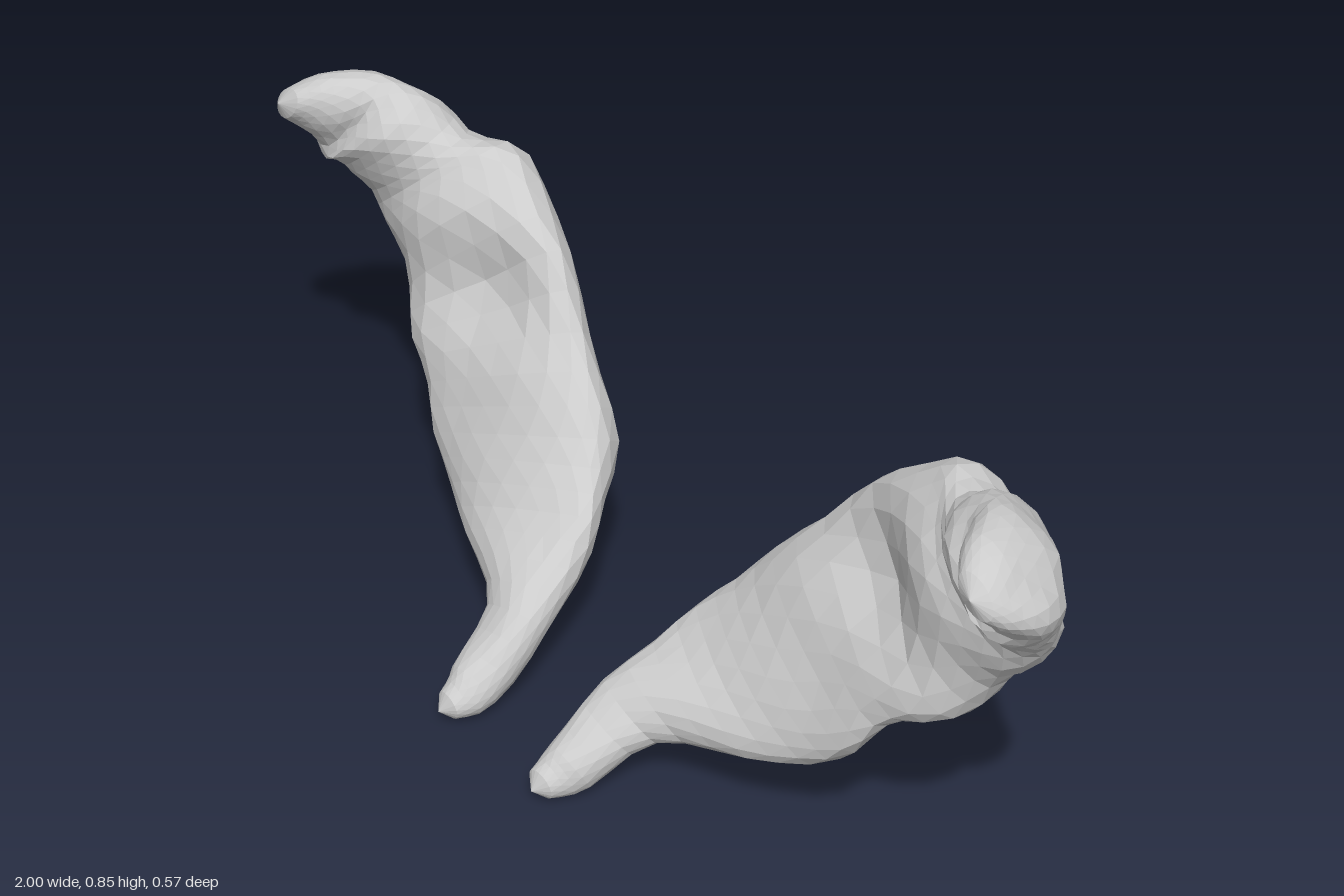
import * as THREE from 'three';

// Stations along one lobe: upper edge, lower edge, [front, back] thickness
const STATIONS = [
  [[0.108, 0.05, 0.27], [0.165, 0.035, 0.265], [0.028, 0.025]],
  [[0.092, 0.07, 0.21], [0.19, 0.045, 0.205], [0.052, 0.045]],
  [[0.10, 0.165, 0.10], [0.235, 0.115, 0.10], [0.05, 0.055]],
  [[0.145, 0.26, -0.02], [0.40, 0.152, 0.03], [0.055, 0.09]],
  [[0.19, 0.355, -0.11], [0.555, 0.225, -0.01], [0.055, 0.105]],
  [[0.30, 0.48, -0.165], [0.63, 0.33, -0.05], [0.06, 0.115]],
  [[0.445, 0.645, -0.20], [0.755, 0.39, -0.10], [0.075, 0.12]],
  [[0.595, 0.76, -0.20], [0.835, 0.51, -0.13], [0.085, 0.105]],
  [[0.685, 0.775, -0.165], [0.91, 0.595, -0.13], [0.08, 0.08]],
  [[0.765, 0.825, -0.125], [0.95, 0.655, -0.10], [0.095, 0.07]],
  [[0.825, 0.85, -0.08], [0.985, 0.70, -0.06], [0.085, 0.06]],
  [[0.86, 0.845, -0.01], [0.99, 0.745, 0.0], [0.05, 0.045]],
  [[0.905, 0.825, 0.04], [0.975, 0.775, 0.04], [0.027, 0.025]],
];
const RINGS = 36, SIDES = 18;

// Rounded lumps along and around the lobe
function lump(u, a) {
  const fade = Math.min(1, u * 5, (1 - u) * 6);
  return fade * (0.09 * Math.sin(u * 34 + 2 * Math.sin(a)) * Math.cos(2 * a + 1)
    + 0.06 * Math.sin(u * 21 + 3 * a) + 0.05 * Math.sin(u * 53 - 2 * a));
}

// Lofts flattened sections between the two edges; side is +1 (left) or -1 (right)
function lobeGeometry(side) {
  const curve = k => new THREE.CatmullRomCurve3(
    STATIONS.map(s => new THREE.Vector3(s[k][0], s[k][1], s[k][2] ?? 0)), false, 'catmullrom');
  const upper = curve(0), lower = curve(1), thick = curve(2);
  const mid = u => upper.getPoint(u).add(lower.getPoint(u)).multiplyScalar(0.5);
  const points = [], index = [];

  for (let i = 0; i <= RINGS; i++) {
    const u = i / RINGS, c = mid(u), t = thick.getPoint(u);
    const half = lower.getPoint(u).sub(upper.getPoint(u)).multiplyScalar(0.5);
    const along = mid(Math.min(1, u + 0.03)).sub(mid(Math.max(0, u - 0.03)));
    const back = along.cross(half).normalize();
    for (let j = 0; j < SIDES; j++) {
      const a = (j + 0.5 * (i % 2)) / SIDES * Math.PI * 2;
      const s = Math.sin(a), k = 1 + lump(u, a);
      let depth = s * (s > 0 ? t.y : t.x) * k;
      // hollow in the front face, shallow groove down the back
      if (s < 0) depth += 0.035 * Math.exp(-(((u - 0.49) / 0.04) ** 2) - ((a - 4.5) / 0.6) ** 2);
      else depth -= 0.02 * Math.exp(-(((a - 1.2) / 0.3) ** 2)) * Math.sin(Math.PI * u);
      points.push(c.clone().addScaledVector(half, Math.cos(a) * (1 + (k - 1) * 0.4))
        .addScaledVector(back, depth));
    }
  }
  // Rounded end points
  points.push(new THREE.Vector3(0.138, 0.038, 0.288), new THREE.Vector3(0.945, 0.802, 0.057));
  const foot = points.length - 2, head = foot + 1;
  points.forEach(p => { p.x *= side; });

  const tri = (a, b, c) => (side > 0 ? index.push(a, b, c) : index.push(a, c, b));
  for (let j = 0; j < SIDES; j++) {
    const n = (j + 1) % SIDES;
    for (let i = 0; i < RINGS; i++) {
      const a = i * SIDES + j, b = i * SIDES + n, c = a + SIDES, d = b + SIDES;
      if (i % 2) { tri(a, b, d); tri(a, d, c); } else { tri(a, b, c); tri(b, d, c); }
    }
    tri(foot, n, j);
    tri(head, RINGS * SIDES + j, RINGS * SIDES + n);
  }

  const geometry = new THREE.BufferGeometry().setFromPoints(points);
  geometry.setIndex(index);
  geometry.computeVertexNormals();
  return geometry;
}

export function createModel() {
  const group = new THREE.Group();
  group.name = 'pairedLobes';
  const material = new THREE.MeshStandardMaterial({ color: 0xcccccc, flatShading: true });
  for (const [name, side] of [['leftLobe', 1], ['rightLobe', -1]]) {
    const mesh = new THREE.Mesh(lobeGeometry(side), material);
    mesh.name = name;
    group.add(mesh);
  }
  return group;
}
